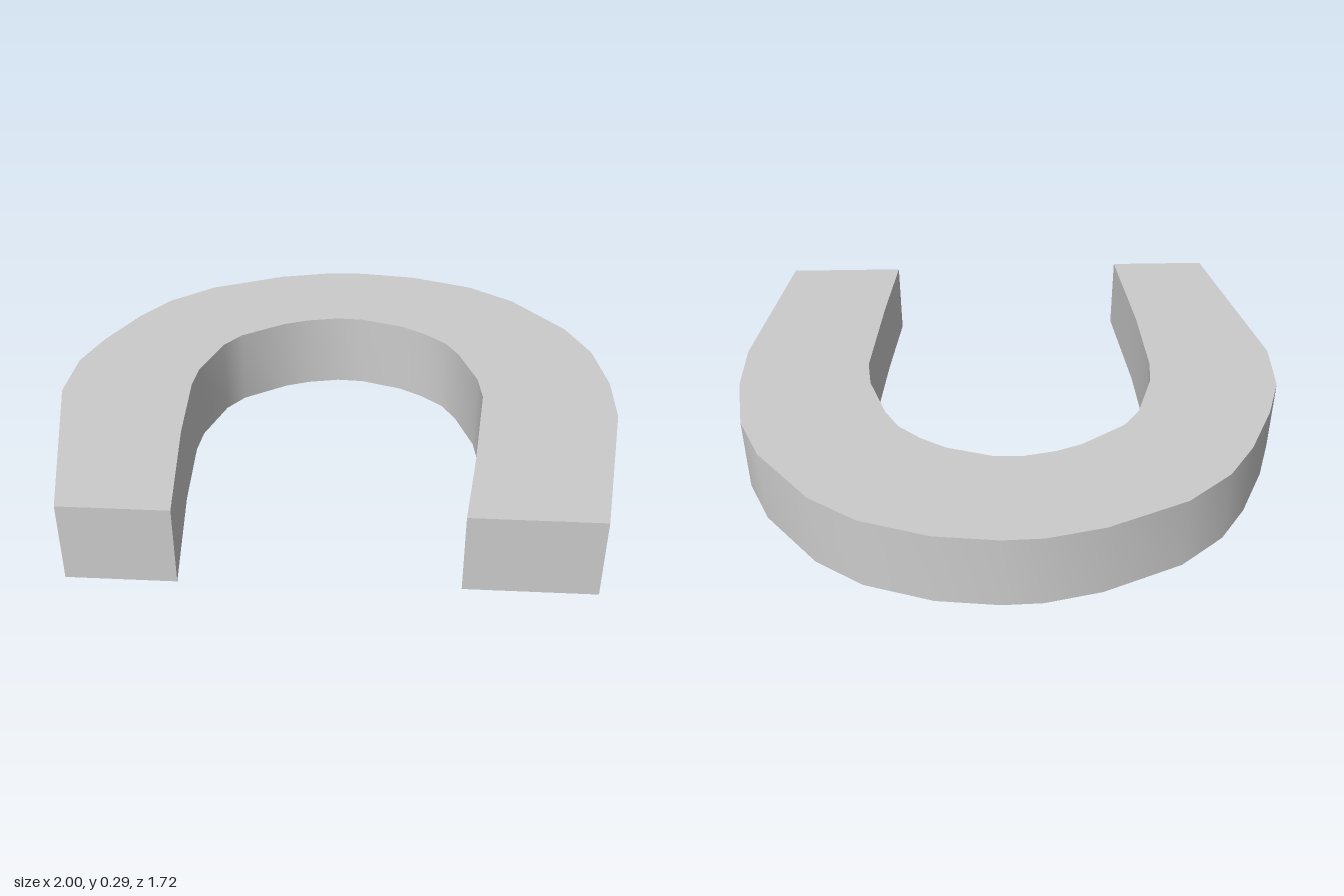
import * as THREE from 'three';
import { toCreasedNormals } from 'three/addons/utils/BufferGeometryUtils.js';

const HEIGHT = 0.29;

// Plan outline as [x, z] pairs, running from the right heel around the toe to the left heel
const outerEdge = [
  [-0.845, 0.855], [-1, 0.17], [-0.99, -0.05], [-0.93, -0.22], [-0.83, -0.42], [-0.73, -0.56],
  [-0.57, -0.69], [-0.29, -0.81], [-0.09, -0.855], [0.05, -0.86], [0.27, -0.835], [0.51, -0.755],
  [0.68, -0.64], [0.875, -0.41], [0.96, -0.23], [1, 0], [1, 0.22], [0.89, 0.835],
];
// Inner edge, running back from the left heel to the right heel
const innerEdge = [
  [0.45, 0.835], [0.49, 0.52], [0.53, 0.12], [0.515, 0], [0.45, -0.18], [0.40, -0.265],
  [0.32, -0.335], [0.23, -0.39], [0.07, -0.44], [-0.03, -0.445], [-0.15, -0.42], [-0.24, -0.385],
  [-0.40, -0.28], [-0.46, -0.20], [-0.525, -0.01], [-0.535, 0.1], [-0.52, 0.41], [-0.475, 0.855],
];

export function createModel() {
  const group = new THREE.Group();
  group.name = 'horseshoe';

  // Flat bar extruded from the plan, laid down with its underside on the ground
  const shape = new THREE.Shape([...outerEdge, ...innerEdge].map(([x, z]) => new THREE.Vector2(x, z)));
  const bar = new THREE.ExtrudeGeometry(shape, { depth: HEIGHT, bevelEnabled: false });
  bar.rotateX(Math.PI / 2).translate(0, HEIGHT, 0);

  // Smooth around the curved walls, sharp at the rims and heels
  const mesh = new THREE.Mesh(
    toCreasedNormals(bar, THREE.MathUtils.degToRad(35)),
    new THREE.MeshStandardMaterial({ color: 0xcccccc }),
  );
  mesh.name = 'horseshoeBar';
  group.add(mesh);
  return group;
}
